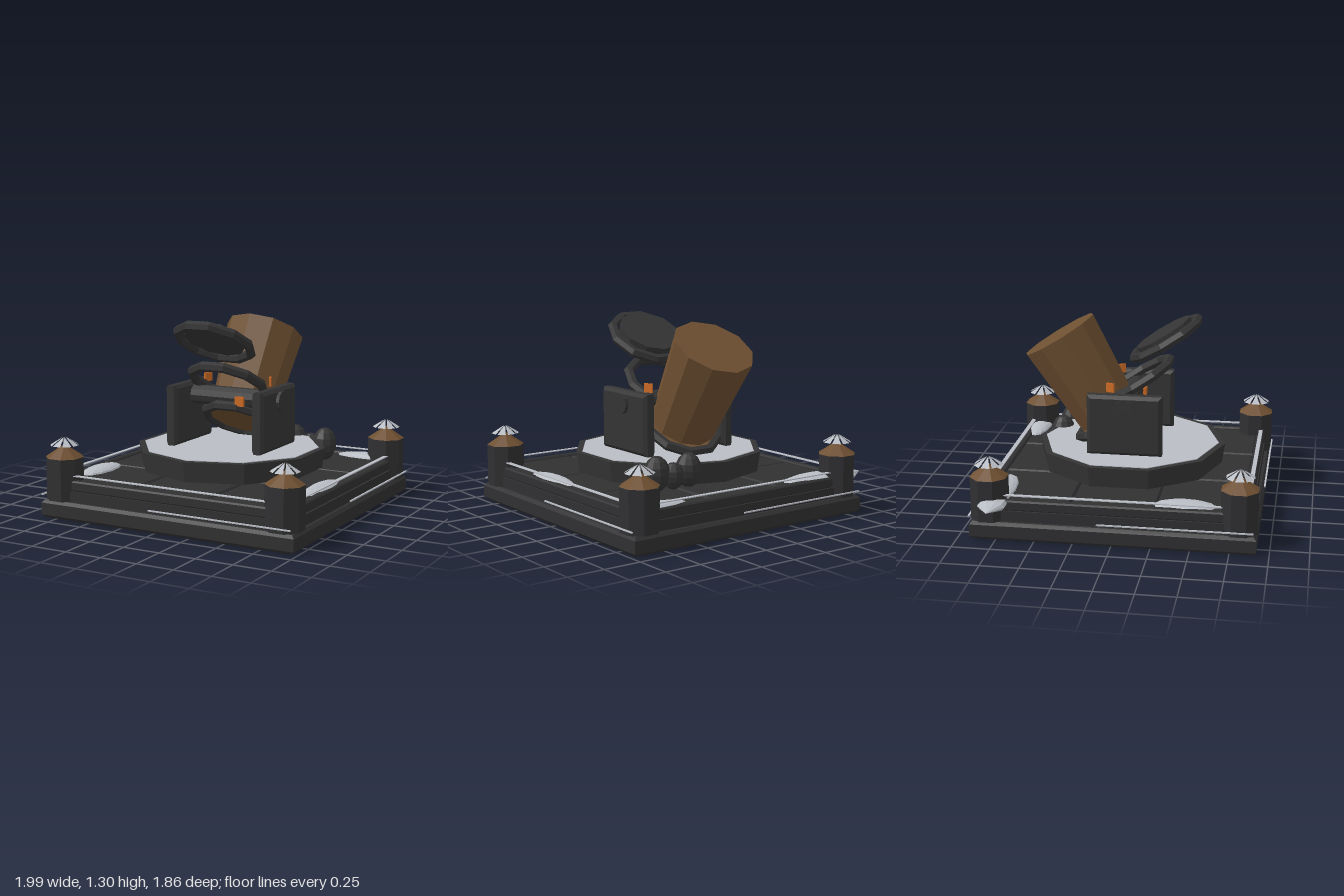
import * as THREE from 'three';

const mat = (name, color, extra = {}) =>
  Object.assign(new THREE.MeshStandardMaterial({ color, flatShading: true, ...extra }), { name });

export function createModel() {
  const iron = mat('dark iron', 0x343434);
  const stone = mat('dark stone', 0x303032);
  const wood = mat('brown wood', 0x6e4f31);
  const snow = mat('pale snow', 0xb9bdc4, { side: THREE.DoubleSide });
  const ember = mat('orange ember', 0xcc6a24);

  const model = new THREE.Group();
  const CX = 0.06; // the platform sits slightly to the left
  const TILT = -0.55; // lean of the barrel and its hoops

  const add = (name, geo, material, x, y, z, parent = model) => {
    const m = new THREE.Mesh(geo, material);
    m.name = name;
    m.position.set(x, y, z);
    parent.add(m);
    return m;
  };

  // box with chamfered top and bottom edges, centred
  const chamferBox = (w, h, d, c) => {
    const a = w / 2 - c, b = d / 2 - c;
    const s = new THREE.Shape([[-a, -b], [a, -b], [a, b], [-a, b]].map(p => new THREE.Vector2(...p)));
    const g = new THREE.ExtrudeGeometry(s, {
      depth: h - 2 * c, bevelEnabled: true, bevelSize: c, bevelThickness: c, bevelSegments: 1,
    });
    return g.translate(0, 0, -(h - 2 * c) / 2).rotateX(-Math.PI / 2);
  };

  // platform
  add('base', chamferBox(1.84, 0.12, 1.84, 0.02), stone, CX, 0.06, 0);
  add('floorSlab', new THREE.BoxGeometry(1.68, 0.105, 1.68), stone, CX, 0.1725, 0);
  for (let i = -1; i <= 1; i++)
    for (let j = -1; j <= 1; j++)
      add('floorTile', chamferBox(0.535, 0.04, 0.54, 0.01), stone, CX + i * 0.55, 0.227, j * 0.55);

  // low walls, with thin lines of snow above and outside
  for (const s of [-1, 1]) {
    add('wallLower', new THREE.BoxGeometry(1.5, 0.07, 0.07), stone, CX, 0.155, s * 0.845);
    add('wallUpper', chamferBox(1.5, 0.07, 0.055, 0.01), stone, CX, 0.223, s * 0.845);
    add('wallLower', new THREE.BoxGeometry(0.07, 0.07, 1.5), stone, CX + s * 0.845, 0.155, 0);
    add('wallUpper', chamferBox(0.055, 0.07, 1.5, 0.01), stone, CX + s * 0.845, 0.223, 0);

    add('wallSnow', new THREE.BoxGeometry(1.5, 0.006, 0.028), snow, CX, 0.289, s * 0.85);
    add('wallSnow', new THREE.BoxGeometry(0.028, 0.006, 1.5), snow, CX + s * 0.85, 0.289, 0);
    add('baseSnow', new THREE.BoxGeometry(0.99, 0.008, 0.012), snow, CX + s * 0.405, 0.15, s * 0.925);
    add('baseSnow', new THREE.BoxGeometry(0.012, 0.008, 0.99), snow, CX + s * 0.925, 0.15, -s * 0.405);
  }

  // corner posts with wooden caps and split snow crowns
  const crown = [];
  for (let i = 0; i < 8; i++) {
    const t = (i * Math.PI) / 4, w = 0.32;
    for (const [r, y, a] of [[0.095, 0, t - w], [0.012, 0.052, t], [0.095, 0, t + w]])
      crown.push(r * Math.cos(a), y, r * Math.sin(a));
  }
  const crownGeo = new THREE.BufferGeometry();
  crownGeo.setAttribute('position', new THREE.Float32BufferAttribute(crown, 3));
  crownGeo.computeVertexNormals();
  for (const sx of [-1, 1])
    for (const sz of [-1, 1]) {
      const post = new THREE.Group();
      post.name = 'cornerPost';
      post.position.set(CX + sx * 0.805, 0, sz * 0.805);
      model.add(post);
      add('postShaft', new THREE.CylinderGeometry(0.125, 0.125, 0.28, 8).rotateY(Math.PI / 8), stone, 0, 0.26, 0, post);
      add('postCap', new THREE.ConeGeometry(0.127, 0.085, 8).rotateY(Math.PI / 8), wood, 0, 0.442, 0, post);
      add('snowCrown', crownGeo, snow, 0, 0.478, 0, post);
    }

  // turntable with a pale top
  add('turntable', new THREE.CylinderGeometry(0.643, 0.623, 0.135, 10), iron, CX, 0.348, 0);
  add('turntableTop', new THREE.CylinderGeometry(0.6, 0.6, 0.008, 10), snow, CX, 0.416, 0);

  // carriage cheeks and axle
  for (const s of [-1, 1])
    add('carriageCheek', chamferBox(0.41, 0.09, 0.5, 0.022).rotateZ(Math.PI / 2), iron, CX + s * 0.325, 0.625, 0);
  add('axle', new THREE.CylinderGeometry(0.067, 0.067, 0.785, 10).rotateZ(Math.PI / 2), iron, CX, 0.745, 0);

  // tapered barrel
  add('barrel', new THREE.CylinderGeometry(0.273, 0.223, 0.644, 10), wood, CX, 0.868, -0.33).rotation.x = TILT;

  // three hoops stepping up and forward, and the muzzle disc
  for (let i = 0; i < 3; i++)
    add('hoop', new THREE.TorusGeometry(0.252, 0.034, 6, 10).rotateX(Math.PI / 2), iron,
      CX, 0.565 + i * 0.287, -0.145 + i * 0.188).rotation.x = TILT;
  add('breechDisc', new THREE.CylinderGeometry(0.235, 0.235, 0.02, 10), wood, CX, 0.568, -0.147).rotation.x = TILT;
  add('muzzleDisc', new THREE.CylinderGeometry(0.21, 0.21, 0.05, 10), iron, CX, 1.163, 0.223).rotation.x = TILT;

  // glowing plates
  add('emberFront', new THREE.BoxGeometry(0.065, 0.065, 0.02), ember, 0.165, 0.73, 0.075);
  for (const s of [-1, 1])
    add('emberSide', new THREE.BoxGeometry(0.015, 0.06, 0.06), ember, CX + s * 0.24, 0.85, -0.11).rotation.y = s * 0.4;

  // stack of shot
  for (const [x, y, z, r, h] of [[0.29, 0.375, -0.53, 0.085, 0.113], [0.41, 0.35, -0.53, 0.07, 0.088], [0.525, 0.375, -0.51, 0.085, 0.115]])
    add('shot', new THREE.SphereGeometry(1, 10, 8), iron, x, y, z).scale.set(r, h, r);

  // snow drifts on the floor
  for (const [x, z, rx, rz] of [[-0.6, -0.765, 0.29, 0.098], [0.74, -0.79, 0.235, 0.075], [0.84, 0.225, 0.075, 0.24], [-0.695, 0.455, 0.09, 0.205]])
    add('snowDrift', new THREE.SphereGeometry(1, 12, 8), snow, x, 0.243, z).scale.set(rx, 0.038, rz);
  add('driftTip', new THREE.CylinderGeometry(0.09, 0.09, 0.2, 10, 1, true).rotateZ(Math.PI / 2), snow, -0.78, 0.24, -0.765).scale.y = 0.4;
  add('driftPoint', new THREE.ConeGeometry(0.09, 0.12, 10, 1, true).rotateZ(Math.PI / 2), snow, -0.94, 0.24, -0.765).scale.y = 0.4;

  return model;
}
